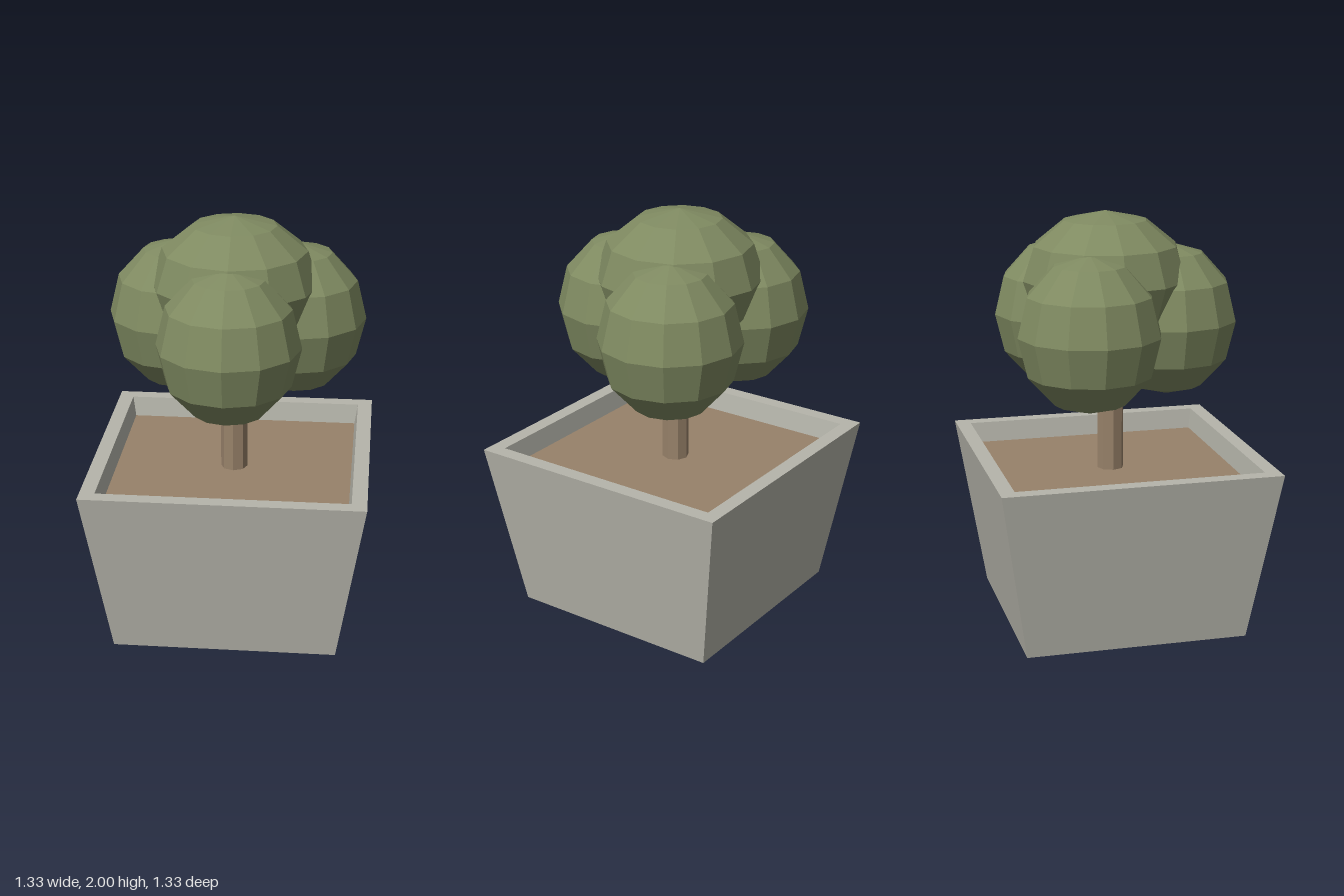
import * as THREE from 'three';

const flat = (name, color) => {
  const m = new THREE.MeshStandardMaterial({ color, flatShading: true });
  m.name = name;
  return m;
};

export function createModel() {
  const group = new THREE.Group();
  group.name = 'pottedTree';
  const concrete = flat('concrete', 0xb6b5ab);
  const brown = flat('earthBrown', 0x98826a);
  const leaf = flat('leafGreen', 0x7f8a61);

  const add = (name, geometry, material, x = 0, y = 0, z = 0) => {
    const mesh = new THREE.Mesh(geometry, material);
    mesh.name = name;
    mesh.position.set(x, y, z);
    group.add(mesh);
    return mesh;
  };

  // Square tapered planter with a hollow top: [half width, height]
  const profile = [[0, 0], [0.535, 0], [0.665, 0.835], [0.593, 0.835], [0.577, 0.73]]
    .map(([w, y]) => new THREE.Vector2(w * Math.SQRT2, y));
  add('planter', new THREE.LatheGeometry(profile, 4, Math.PI / 4), concrete);

  // Soil inside the planter
  const soil = new THREE.PlaneGeometry(1.16, 1.16).rotateX(-Math.PI / 2);
  add('soil', soil, brown, 0, 0.735, 0);

  // Trunk
  add('trunk', new THREE.CylinderGeometry(0.065, 0.065, 0.7, 8), brown, 0, 1.08, 0);

  // Leaf clumps: x, y, z, horizontal radius, vertical radius
  const clumps = [
    ['frontFoliage', 0, 1.465, 0.283, 0.34, 0.375],
    ['leftFoliage', 0.285, 1.465, -0.17, 0.34, 0.375],
    ['rightFoliage', -0.285, 1.465, -0.17, 0.34, 0.375],
    ['topFoliage', 0, 1.675, -0.025, 0.4, 0.325],
  ];
  const up = new THREE.Vector3(0, 1, 0);
  for (const [name, x, y, z, r, h] of clumps) {
    add(name, new THREE.SphereGeometry(1, 12, 6), leaf, x, y, z).scale.set(r, h, r);
    if (name === 'topFoliage') continue;
    // Short branch from the trunk into the clump
    const start = new THREE.Vector3(0, 1.08, 0);
    const dir = new THREE.Vector3(x * 0.6, 1.4, z * 0.6).sub(start);
    const mid = start.clone().addScaledVector(dir, 0.5);
    const branch = add(name.replace('Foliage', 'Branch'),
      new THREE.CylinderGeometry(0.03, 0.04, dir.length(), 6), brown, mid.x, mid.y, mid.z);
    branch.quaternion.setFromUnitVectors(up, dir.normalize());
  }
  return group;
}
